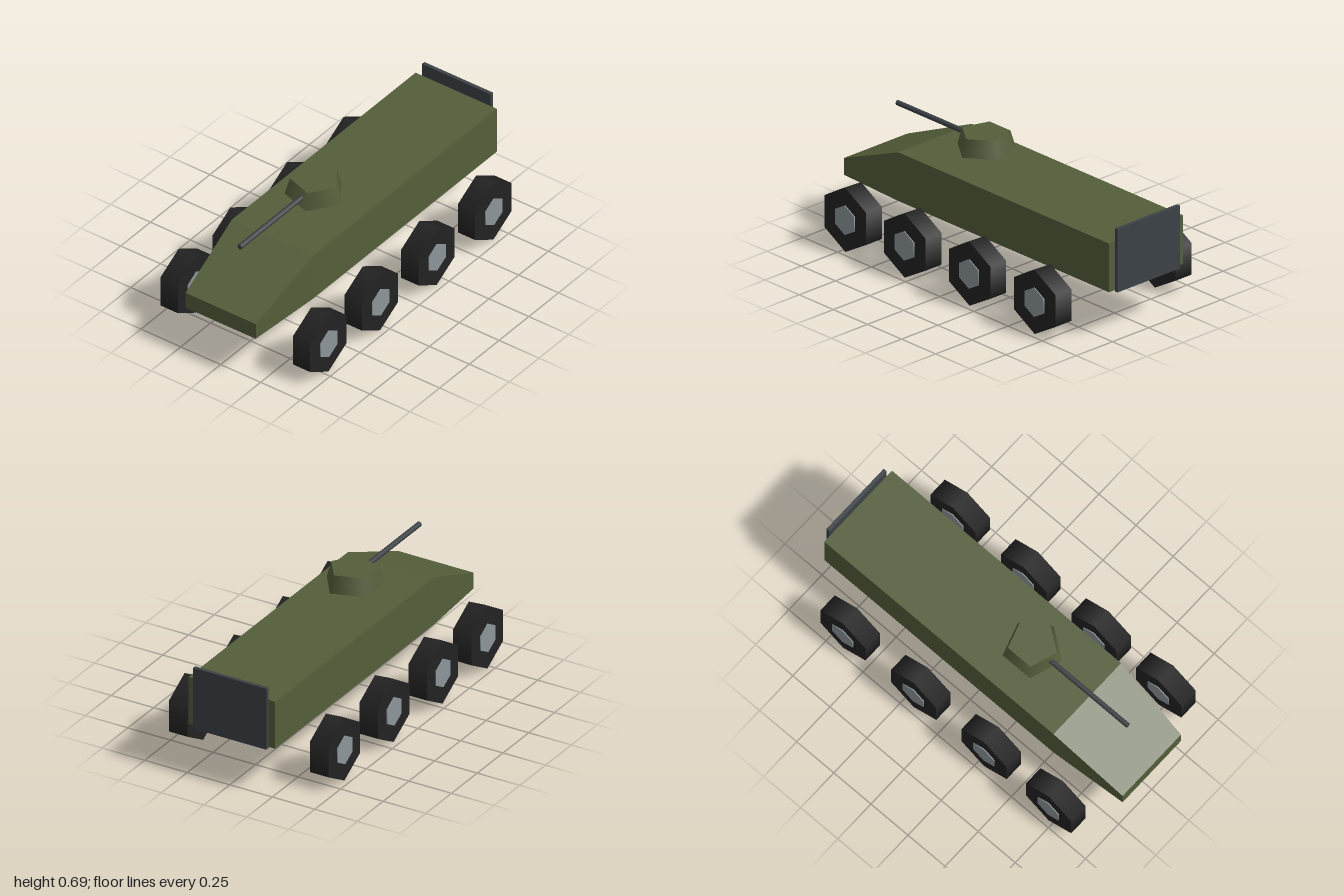
import * as THREE from 'three';

const material = (name, color) => {
  const m = new THREE.MeshStandardMaterial({ color });
  m.name = name;
  return m;
};

// Flat-faced hull skinned over rectangular sections [z, halfWidth, bottom, top], rear to front
function hullGeometry(sections) {
  const rings = sections.map(([z, w, b, t]) => [[w, b, z], [w, t, z], [-w, t, z], [-w, b, z]]);
  const pos = [];
  const quad = (a, b, c, d) => pos.push(...a, ...b, ...c, ...a, ...c, ...d);
  for (let i = 0; i < rings.length - 1; i++) {
    const r = rings[i], f = rings[i + 1];
    for (let k = 0; k < 4; k++) {
      const n = (k + 1) % 4;
      quad(r[k], r[n], f[n], f[k]);
    }
  }
  const [a, b, c, d] = rings[0];
  quad(d, c, b, a);
  quad(...rings[rings.length - 1]);
  const geo = new THREE.BufferGeometry();
  geo.setAttribute('position', new THREE.Float32BufferAttribute(pos, 3));
  geo.computeVertexNormals();
  return geo;
}

export function createModel() {
  const model = new THREE.Group();
  model.name = 'armouredCarrier';

  const olive = material('olive paint', 0x545e3a);
  const steel = material('dark steel', 0x3c4246);
  const rubber = material('black rubber', 0x222222);
  const grey = material('hub grey', 0x8c959a);

  const add = (name, geometry, mat, x, y, z, parent = model) => {
    const mesh = new THREE.Mesh(geometry, mat);
    mesh.name = name;
    mesh.position.set(x, y, z);
    parent.add(mesh);
    return mesh;
  };

  // Hull with sloping, tapered nose
  add('hull', hullGeometry([
    [-0.98, 0.255, 0.267, 0.535],
    [0.565, 0.255, 0.267, 0.535],
    [1.0, 0.22, 0.259, 0.351],
  ]), olive, 0, 0, 0);

  // Rear ramp
  add('rearRamp', new THREE.BoxGeometry(0.43, 0.348, 0.02), steel, 0, 0.434, -0.99);

  // Five-sided turret and gun
  const turret = new THREE.CylinderGeometry(0.13, 0.157, 0.094, 5).rotateY(Math.PI / 2);
  add('turret', turret, olive, 0, 0.641, 0.2);
  const barrel = new THREE.CylinderGeometry(0.014, 0.014, 0.54, 8).rotateX(Math.PI / 2);
  add('gunBarrel', barrel, steel, 0, 0.641, 0.57);

  // Eight hexagonal wheels, one point up
  const hex = (r, width) =>
    new THREE.CylinderGeometry(r, r, width, 6, 1, false, Math.PI / 2).rotateZ(Math.PI / 2);
  const tyre = hex(0.176, 0.109);
  const hub = hex(0.081, 0.12);
  for (const x of [-0.415, 0.415]) {
    for (const z of [0.724, 0.289, -0.186, -0.663]) {
      const wheel = new THREE.Group();
      wheel.name = x > 0 ? 'leftWheel' : 'rightWheel';
      wheel.position.set(x, 0.176, z);
      add('tyre', tyre, rubber, 0, 0, 0, wheel);
      add('hub', hub, grey, 0, 0, 0, wheel);
      model.add(wheel);
    }
  }
  return model;
}
